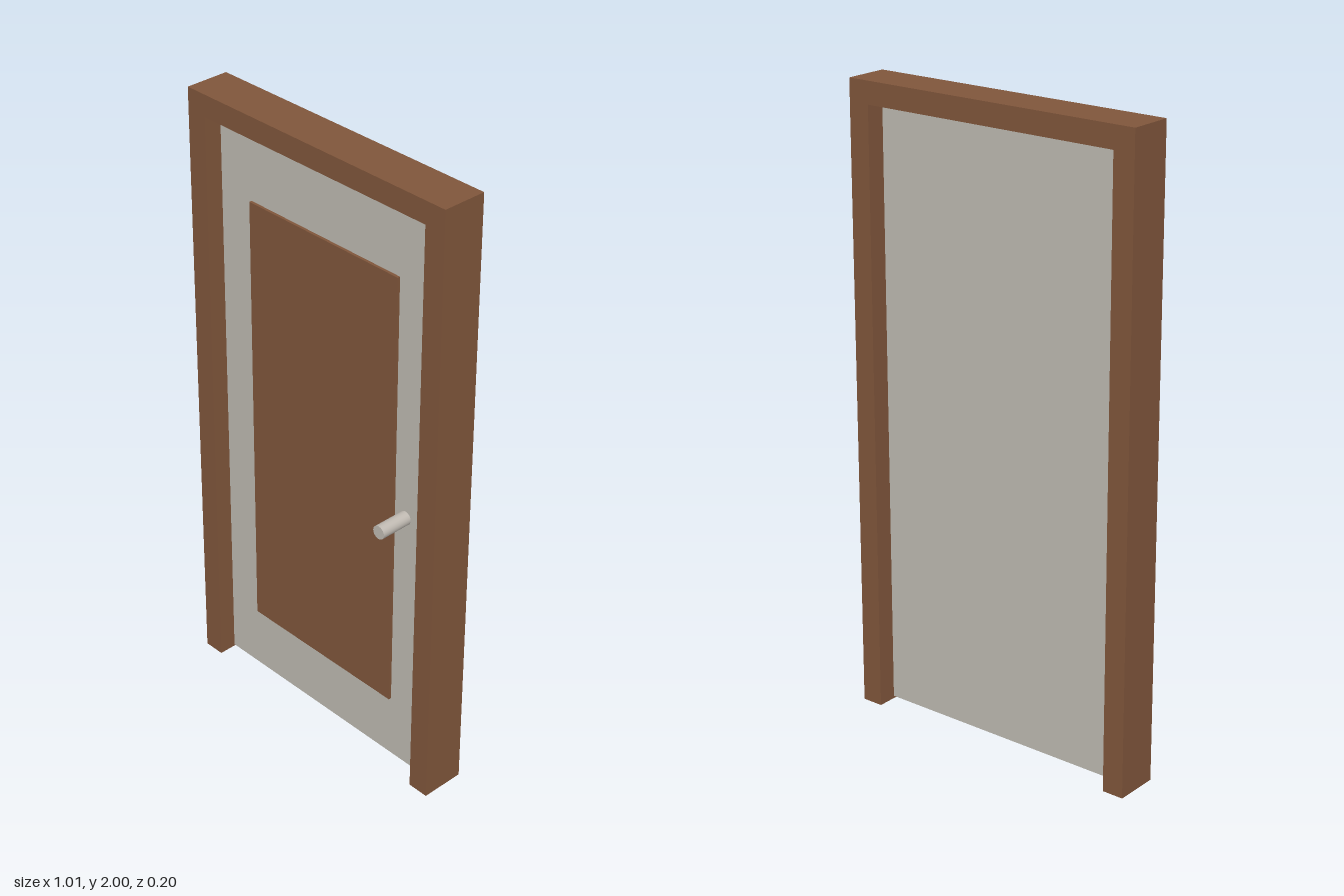
import * as THREE from 'three';

const wood = new THREE.MeshStandardMaterial({ color: 0x80563b });
wood.name = 'brown wood';
const paint = new THREE.MeshStandardMaterial({ color: 0xbebab2 });
paint.name = 'pale grey paint';
const metal = new THREE.MeshStandardMaterial({ color: 0xc0bab2 });
metal.name = 'handle metal';

const FRAME_BACK = -0.1, FRAME_FRONT = 0.043;
const DOOR_BACK = -0.048, DOOR_FRONT = -0.007;

function add(group, name, geometry, material) {
  const mesh = new THREE.Mesh(geometry, material);
  mesh.name = name;
  group.add(mesh);
  return mesh;
}

// Box given by its limits, symmetric in x
function slab(halfWidth, y0, y1, z0, z1) {
  return new THREE.BoxGeometry(halfWidth * 2, y1 - y0, z1 - z0)
    .translate(0, (y0 + y1) / 2, (z0 + z1) / 2);
}

export function createModel() {
  const door = new THREE.Group();
  door.name = 'door';

  // Frame: two jambs and a lintel in one piece, open at the floor
  const outline = new THREE.Shape([
    [-0.507, 0], [-0.437, 0], [-0.437, 1.93], [0.437, 1.93],
    [0.437, 0], [0.507, 0], [0.507, 2], [-0.507, 2],
  ].map(([x, y]) => new THREE.Vector2(x, y)));
  const frame = new THREE.ExtrudeGeometry(outline, {
    depth: FRAME_FRONT - FRAME_BACK, bevelEnabled: false,
  }).translate(0, 0, FRAME_BACK);
  add(door, 'frame', frame, wood);

  // Leaf, hung with a small gap all round
  add(door, 'leaf', slab(0.428, 0.015, 1.921, DOOR_BACK, DOOR_FRONT), paint);

  // Raised panel on the front
  add(door, 'panel', slab(0.3, 0.23, 1.7, DOOR_FRONT - 0.005, DOOR_FRONT + 0.009), wood);

  // Round handle
  const length = 0.1 - DOOR_FRONT + 0.005;
  const handle = new THREE.CylinderGeometry(0.022, 0.022, length, 20).rotateX(Math.PI / 2);
  add(door, 'handle', handle, metal).position.set(0.342, 0.926, 0.1 - length / 2);

  return door;
}
